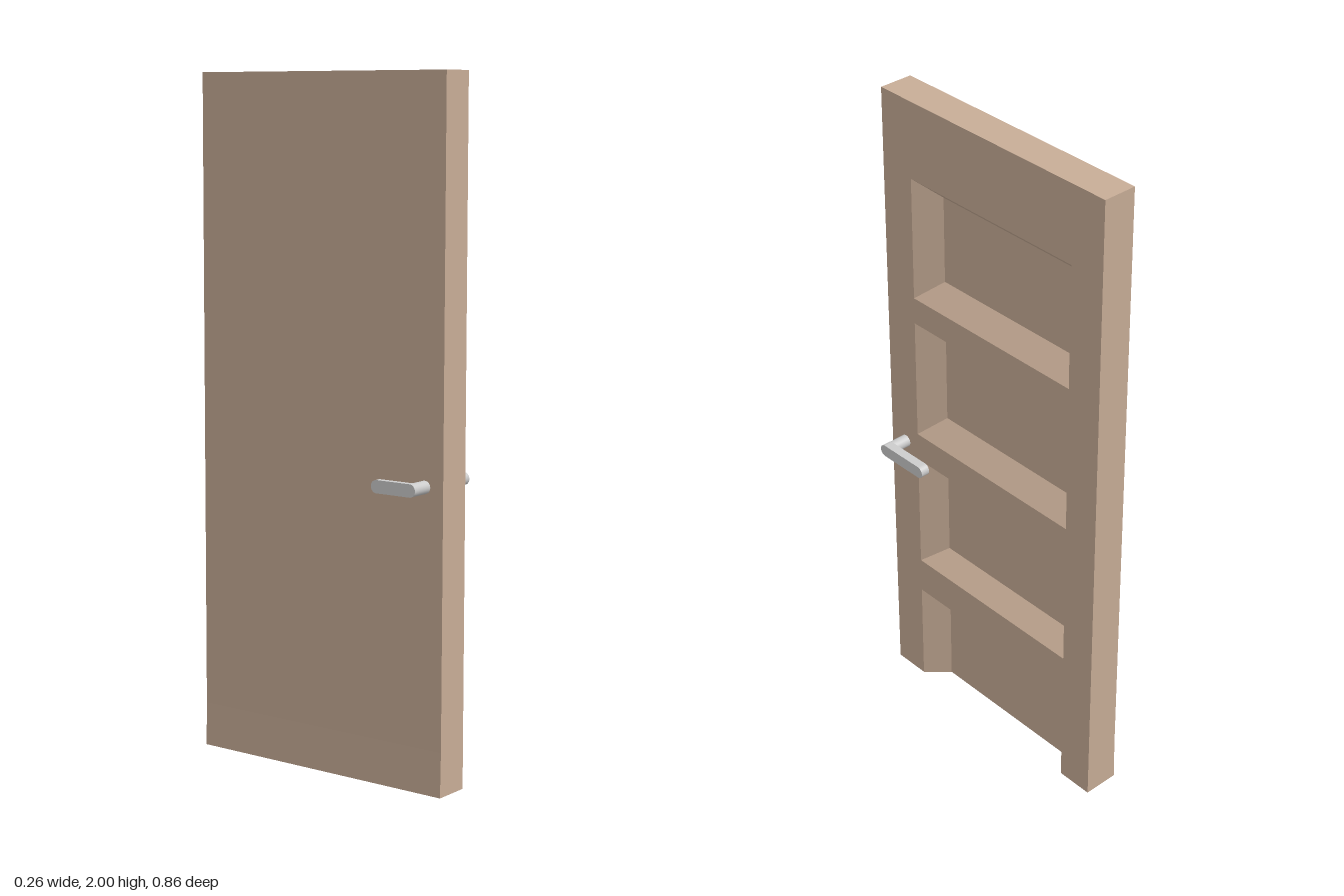
import * as THREE from 'three';

const FACE = 0.05, FLOOR = -0.015;       // panelled face and recess floor, in x
const Z = 0.43, ZO = 0.315, ZI = 0.255;  // door edge, recess outer and inner half widths
const BACK = [[0, -0.061], [0.13, -0.058], [2, -0.054]]; // flat face, slightly flared at the foot

// Recesses as [outer bottom, inner bottom, inner top, outer top]; the lowest runs off the door
const RECESSES = [
  [0, 0, 0.287, 0.335],
  [0.45, 0.497, 0.78, 0.83],
  [0.92, 0.977, 1.253, 1.303],
  [1.386, 1.44, 1.708, 1.766],
];

function doorGeometry() {
  const pos = [];
  const quad = (a, b, c, d) => pos.push(...a, ...b, ...c, ...a, ...c, ...d);
  // Corners of a rectangle facing +x, counter-clockwise
  const rect = (x, y0, y1, z0, z1) => [[x, y0, z0], [x, y0, z1], [x, y1, z1], [x, y1, z0]];

  // Stiles
  quad(...rect(FACE, 0, 2, Z, ZO));
  quad(...rect(FACE, 0, 2, -ZO, -Z));

  // Rails above each recess, sloped walls and floors
  RECESSES.forEach(([o0, i0, i1, o1], n) => {
    const next = n < RECESSES.length - 1 ? RECESSES[n + 1][0] : 2;
    quad(...rect(FACE, o1, next, ZO, -ZO));
    const outer = rect(FACE, o0, o1, ZO, -ZO);
    const inner = rect(FLOOR, i0, i1, ZI, -ZI);
    quad(...inner);
    for (let k = n === 0 ? 1 : 0; k < 4; k++) {
      const m = (k + 1) % 4;
      quad(outer[k], outer[m], inner[m], inner[k]);
    }
  });

  // Flat face and the two narrow edges
  for (let i = 0; i < BACK.length - 1; i++) {
    const [y0, x0] = BACK[i], [y1, x1] = BACK[i + 1];
    quad([x0, y0, -Z], [x0, y0, Z], [x1, y1, Z], [x1, y1, -Z]);
    quad([x0, y0, Z], [FACE, y0, Z], [FACE, y1, Z], [x1, y1, Z]);
    quad([FACE, y0, -Z], [x0, y0, -Z], [x1, y1, -Z], [FACE, y1, -Z]);
  }

  // Top, and underside notched by the lowest recess
  const xt = BACK[2][1], xb = BACK[0][1];
  quad([xt, 2, Z], [FACE, 2, Z], [FACE, 2, -Z], [xt, 2, -Z]);
  quad([xb, 0, -Z], [FACE, 0, -Z], [FACE, 0, -ZO], [FLOOR, 0, -ZI]);
  quad([xb, 0, -Z], [FLOOR, 0, -ZI], [FLOOR, 0, ZI], [xb, 0, Z]);
  quad([FLOOR, 0, ZI], [FACE, 0, ZO], [FACE, 0, Z], [xb, 0, Z]);

  // The door stands very slightly askew
  for (let i = 0; i < pos.length; i += 3) pos[i] -= 0.005 * pos[i + 2];

  const g = new THREE.BufferGeometry();
  g.setAttribute('position', new THREE.Float32BufferAttribute(pos, 3));
  g.computeVertexNormals();
  return g;
}

// Round-ended lever lying along z, extruded along x from x0 to x1
function leverGeometry(x0, x1, zFront, zTip, r) {
  const s = new THREE.Shape();
  s.absarc(-zFront + r, 0, r, Math.PI / 2, Math.PI * 1.5);
  s.absarc(-zTip - r, 0, r, -Math.PI / 2, Math.PI / 2);
  const g = new THREE.ExtrudeGeometry(s, { depth: x1 - x0, bevelEnabled: false, curveSegments: 12 });
  return g.rotateY(Math.PI / 2).translate(x0, 0, 0);
}

export function createModel() {
  const model = new THREE.Group();
  model.name = 'panelDoor';
  const wood = new THREE.MeshStandardMaterial({ color: 0xc8ad97 });
  const metal = new THREE.MeshStandardMaterial({ color: 0xcccccc });

  const add = (parent, name, geometry, material) => {
    const mesh = new THREE.Mesh(geometry, material);
    mesh.name = name;
    parent.add(mesh);
    return mesh;
  };

  add(model, 'doorLeaf', doorGeometry(), wood);

  // Spindle through the door with a lever on each side
  const handle = new THREE.Group();
  handle.name = 'handle';
  handle.position.y = 0.87;
  const spindle = add(handle, 'spindle', new THREE.CylinderGeometry(0.0185, 0.0185, 0.24, 24), metal);
  spindle.rotation.z = Math.PI / 2;
  spindle.position.z = 0.3685;
  add(handle, 'panelSideLever', leverGeometry(0.102, 0.13, 0.388, 0.204, 0.0185), metal);
  add(handle, 'flatSideLever', leverGeometry(-0.132, -0.113, 0.388, 0.239, 0.0185), metal);
  model.add(handle);

  return model;
}
